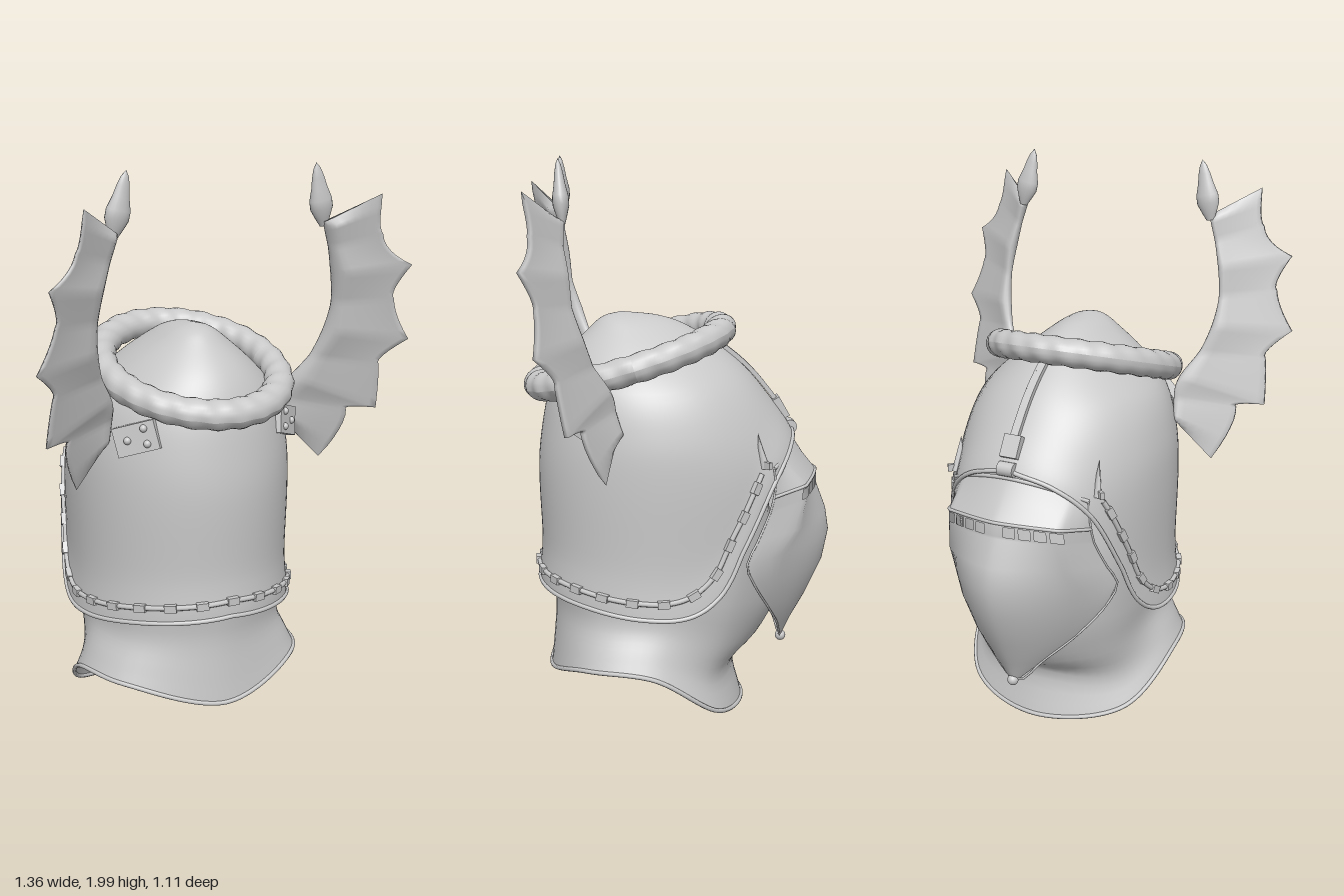
import * as THREE from 'three';

const steel = new THREE.MeshStandardMaterial({ color: 0xc8c8c8, side: THREE.DoubleSide });
steel.name = 'steel';
const V = (x, y, z) => new THREE.Vector3(x, y, z);
const rad = Math.PI / 180;

function part(parent, name, geometry) {
  const m = new THREE.Mesh(geometry, steel);
  m.name = name;
  parent.add(m);
  return m;
}

// Skin a grid of points; quads can be skipped to leave openings
function grid(rows, closed, skip = () => false) {
  const n = rows[0].length, pos = [], index = [];
  rows.forEach(r => r.forEach(p => pos.push(p.x, p.y, p.z)));
  for (let i = 0; i < rows.length - 1; i++) {
    for (let j = 0; j < (closed ? n : n - 1); j++) {
      if (skip(i, j)) continue;
      const k = (j + 1) % n, a = i * n + j, b = i * n + k, c = a + n, d = b + n;
      index.push(a, b, d, a, d, c);
    }
  }
  const g = new THREE.BufferGeometry();
  g.setAttribute('position', new THREE.Float32BufferAttribute(pos, 3));
  g.setIndex(index);
  g.computeVertexNormals();
  return g;
}

const tube = (pts, r, closed = false) =>
  new THREE.TubeGeometry(new THREE.CatmullRomCurve3(pts, closed), pts.length * 2, r, 8, closed);

// Interpolate a table of [key, values...] with smooth steps between keys
function lookup(table, t) {
  const n = table.length;
  let i = 0;
  while (i < n - 2 && t > table[i + 1][0]) i++;
  const a = table[i], b = table[i + 1], p = table[Math.max(i - 1, 0)], q = table[Math.min(i + 2, n - 1)];
  const h = b[0] - a[0], s = THREE.MathUtils.clamp((t - a[0]) / h, 0, 1);
  return a.slice(1).map((v, k) => {
    const m0 = (b[k + 1] - p[k + 1]) / (b[0] - p[0]) * h, m1 = (q[k + 1] - v) / (q[0] - a[0]) * h;
    return (2 * s ** 3 - 3 * s * s + 1) * v + (s ** 3 - 2 * s * s + s) * m0
      + (3 * s * s - 2 * s ** 3) * b[k + 1] + (s ** 3 - s * s) * m1;
  });
}

// Skull profile: height, +z reach, -z reach, half width, z of widest point
const SKULL = [
  [0.42, 0.485, -0.43, 0.385, 0.07], [0.5, 0.495, -0.45, 0.383, 0.07], [0.62, 0.495, -0.46, 0.382, 0.07],
  [0.9, 0.503, -0.45, 0.386, 0.07], [1.05, 0.488, -0.39, 0.373, 0.08], [1.2, 0.455, -0.29, 0.325, 0.1],
  [1.3, 0.405, -0.19, 0.235, 0.13], [1.4, 0.31, -0.04, 0.115, 0.17], [1.44, 0.26, 0.07, 0.055, 0.19],
  [1.455, 0.2, 0.2, 0, 0.2]];
// Rim height around the skull, by angle from +z
const RIM = [[0, 0.485], [45, 0.46], [82, 0.43], [101, 0.44], [113, 0.52], [121, 0.66], [136, 0.87], [155, 0.98], [180, 1.03]];
const rimY = deg => lookup(RIM, Math.min(180, Math.abs(deg)))[0];

// Point on the skull, which flares a little towards its rim
function onSkull(deg, y, lift = 0) {
  const [zf, zb, w, zc] = lookup(SKULL, y);
  const out = lift + 0.012 * Math.exp(-(((y - rimY(deg)) / 0.09) ** 2));
  const s = Math.sin(deg * rad), c = Math.cos(deg * rad);
  return V((w + out) * s, y, zc + c * (c > 0 ? zf - zc + out : zc - zb + out));
}

function addSkull(root) {
  const rows = [];
  for (let i = 0; i <= 40; i++) {
    const t = Math.sin(i / 40 * Math.PI / 2), row = [];
    for (let j = 0; j < 96; j++) {
      const d = j * 3.75 - 180;
      row.push(onSkull(d, THREE.MathUtils.lerp(rimY(d), 1.455, t)));
    }
    rows.push(row);
  }
  rows[40].forEach(p => p.set(0, 1.455, 0.2));
  part(root, 'skullShell', grid(rows, true));
  part(root, 'shellRim', tube(rows[0], 0.008, true));

  // Laced cord with small staples above the rim
  const cord = [];
  for (let d = -131; d <= 131; d += 2) cord.push(onSkull(d, rimY(Math.abs(d) + 4) + 0.06, 0.004));
  part(root, 'trimCord', tube(cord, 0.009));
  const curve = new THREE.CatmullRomCurve3(cord);
  for (let i = 0; i < 23; i++) {
    const u = (i + 0.5) / 23, p = curve.getPointAt(u), t = curve.getTangentAt(u);
    const b = part(root, 'trimStaple', new THREE.BoxGeometry(0.026, 0.026, 0.042));
    b.position.copy(p);
    b.lookAt(p.clone().add(t));
  }
}

// Neck guard: half rings of five points, mirrored and smoothed
function addNeckGuard(root) {
  const rings = [
    [[0, 0.145, 0.47], [0.34, 0.23, 0.34], [0.405, 0.215, 0.11], [0.31, 0.055, -0.12], [0, 0.008, -0.24]],
    [[0, 0.24, 0.46], [0.315, 0.29, 0.33], [0.375, 0.28, 0.1], [0.28, 0.17, -0.1], [0, 0.18, -0.21]],
    [[0, 0.38, 0.45], [0.28, 0.38, 0.32], [0.34, 0.37, 0.08], [0.275, 0.29, -0.15], [0, 0.26, -0.3]],
    [[0, 0.5, 0.46], [0.28, 0.5, 0.33], [0.345, 0.5, 0.06], [0.295, 0.45, -0.19], [0, 0.42, -0.38]],
    [[0, 0.62, 0.45], [0.28, 0.62, 0.33], [0.35, 0.7, 0], [0.3, 0.72, -0.23], [0, 0.6, -0.36]],
    [[0, 0.7, 0.46], [0.28, 0.7, 0.33], [0.35, 0.85, 0], [0.26, 0.93, -0.25], [0, 0.93, -0.3]]];
  const rows = rings.map(r => {
    const half = r.map(p => V(...p));
    const back = half.slice(1, -1).reverse().map(p => V(-p.x, p.y, p.z));
    return new THREE.CatmullRomCurve3([...half, ...back], true).getPoints(64).slice(0, 64);
  });
  // Smooth the rings vertically
  const cols = rows[0].map((_, j) => new THREE.CatmullRomCurve3(rows.map(r => r[j])).getPoints(20));
  part(root, 'neckGuard', grid(cols[0].map((_, i) => cols.map(c => c[i])), true));
  part(root, 'neckGuardLip', tube(rows[0], 0.008, true));
}

// Keeled visor: centre y, centre z, edge y, edge x, edge z, sharpness of the cheek corner
function addVisor(root) {
  const N = 44;
  const rows = [
    [1, -0.415, 0.93, 0.265, -0.32, 0], [0.93, -0.46, 0.88, 0.27, -0.325, 0.5],
    [0.87, -0.508, 0.83, 0.275, -0.32, 1], [0.86, -0.512, 0.82, 0.275, -0.318, 1],
    [0.825, -0.514, 0.785, 0.28, -0.307, 1], [0.815, -0.514, 0.775, 0.28, -0.305, 1],
    [0.72, -0.55, 0.68, 0.305, -0.26, 0.6], [0.64, -0.562, 0.6, 0.33, -0.22, 0.15],
    [0.53, -0.54, 0.52, 0.3, -0.25, 0], [0.4, -0.48, 0.41, 0.215, -0.31, 0],
    [0.3, -0.425, 0.31, 0.11, -0.36, 0], [0.22, -0.39, 0.22, 0.015, -0.385, 0]
  ].map(([yc, zc, ye, xe, ze, corner]) => Array.from({ length: N + 1 }, (_, j) => {
    const u = j / N * 2 - 1, a = Math.abs(u);
    const bent = a < 0.8 ? 0.36 * (a / 0.8) ** 1.4 : 0.36 + 0.64 * (a - 0.8) / 0.2;
    const t = THREE.MathUtils.lerp(a ** 1.8, bent, corner);
    return V(xe * u, yc + (ye - yc) * t, zc + (ze - zc) * t);
  }));
  // Sight slots are left open, with bars between them
  const slot = (i, j) => {
    const k = j < N / 2 ? N / 2 - 1 - j : j - N / 2;
    return i === 3 && k > 2 && k < 18 && (k - 3) % 4 !== 3;
  };
  part(root, 'visor', grid(rows, false, slot));
  part(root, 'sightUpperLip', tube(rows[2], 0.006));
  part(root, 'visorEdge', tube([...rows.map(r => r[0]), ...rows.slice(0, -1).reverse().map(r => r[N])], 0.004));
  part(root, 'visorTopEdge', tube(rows[0], 0.007));
  part(root, 'visorKnob', new THREE.SphereGeometry(0.02, 16, 12)).position.set(0, 0.22, -0.39);
}

// Twisted rope ring around the crown
function addRope(root) {
  const g = new THREE.TorusGeometry(0.305, 0.05, 20, 200), p = g.attributes.position;
  for (let i = 0; i < p.count; i++) {
    const a = Math.atan2(p.getY(i), p.getX(i));
    const c = V(Math.cos(a), Math.sin(a), 0).multiplyScalar(0.305);
    const d = V().fromBufferAttribute(p, i).sub(c);
    const v = Math.atan2(d.z, d.x * Math.cos(a) + d.y * Math.sin(a));
    d.multiplyScalar(1 + 0.05 * Math.cos(2 * v + 24 * a)).add(c);
    p.setXYZ(i, d.x, d.y * 1.11, d.z);
  }
  g.computeVertexNormals();
  const rope = part(root, 'ropeRing', g);
  rope.position.set(0, 1.295, 0.17);
  rope.rotation.x = Math.PI / 2 + 0.29;
}

// Strap and hinge block over the brow
function addBrace(root) {
  for (let i = 0, prev = null; i <= 10; i++) {
    const p = onSkull(180, 1.34 - i * 0.024, 0.012);
    if (prev) {
      const s = part(root, 'browStrap', new THREE.BoxGeometry(0.03, 0.016, prev.distanceTo(p) + 0.006));
      s.position.copy(prev).lerp(p, 0.5);
      s.lookAt(p);
    }
    prev = p;
  }
  const block = part(root, 'hingeBlock', new THREE.BoxGeometry(0.065, 0.03, 0.08));
  block.position.set(0, 1.1, -0.375);
  block.rotation.x = -1.05;
  const pin = part(root, 'hingePin', new THREE.CylinderGeometry(0.025, 0.025, 0.06, 16));
  pin.position.set(0, 1.03, -0.41);
  pin.rotation.z = Math.PI / 2;
}

// Bat-like wing: sections run from the thick inner bone to the thin scalloped edge
function addWing(g) {
  const tips = [[0.53, 1.895], [0.65, 1.655], [0.68, 1.39], [0.62, 1.13], [0.47, 0.935]];
  const dips = [[0.55, 1.76], [0.615, 1.535], [0.605, 1.295], [0.53, 1.12]];
  const inner = new THREE.CatmullRomCurve3(
    [[0.375, 1.8], [0.412, 1.66], [0.433, 1.5], [0.4, 1.34], [0.33, 1.21], [0.335, 1.08]].map(p => V(...p, 0)));
  const edge = new THREE.Path();
  edge.moveTo(...tips[0]);
  dips.forEach(([x, y], i) => {
    edge.quadraticCurveTo(x - 0.02, y + 0.02, x, y);
    edge.quadraticCurveTo(x + 0.01, y - 0.06, ...tips[i + 1]);
  });
  const steps = [0, 0.02, 0.06, 0.12, 0.22, 0.35, 0.5, 0.65, 0.8, 0.92, 1];
  const sections = edge.getPoints(6).map((p, i, all) => {
    const last = all.length - 1, a = inner.getPoint(i / last);
    const ridge = 1 - Math.abs((i + 6) % 12 - 6) / 6, end = i === 0 || i === last ? 0.15 : 1;
    const side = sign => steps.map(u => {
      const h = (0.006 + 0.022 * (1 - u) ** 2 + 0.013 * ridge * (1 - u)) * end * Math.min(1, Math.sqrt(u / 0.12));
      const x = a.x + (p.x - a.x) * u, y = a.y + (p.y - a.y) * u;
      return V(x, y, 0.535 + 0.55 * (x - 0.65) + 0.23 * (y - 1.655) + sign * h);
    });
    return [...side(1), ...side(-1).slice(1).reverse()];
  });
  part(g, 'wing', grid(sections, true));
  // Flame-shaped finial, curling inwards
  const leaf = [[0.014, 0], [0.026, 0.025], [0.041, 0.06], [0.041, 0.09], [0.029, 0.13], [0.022, 0.165], [0.013, 0.195], [0, 0.215]];
  const l = part(g, 'wingFinial', new THREE.LatheGeometry(leaf.map(q => new THREE.Vector2(...q)), 20));
  l.position.set(0.384, 1.785, 0.4);
  l.rotation.set(0.06, 0, 0.2);
  l.scale.z = 0.65;
}

// Wing, mounting plate and side spike on the +x side
function addSide(root, name) {
  const g = new THREE.Group();
  g.name = name;
  root.add(g);
  addWing(g);
  // Mounting plate with rivets, lying on the shell
  const plate = new THREE.Group();
  plate.name = 'mountPlate';
  plate.position.set(0.278, 1.11, 0.342);
  plate.rotation.set(-0.15, 0.72, -0.2);
  g.add(plate);
  part(plate, 'plate', new THREE.BoxGeometry(0.15, 0.1, 0.04));
  [[-0.035, 0.028], [-0.035, -0.025], [0.03, 0]].forEach(([x, y]) =>
    part(plate, 'rivet', new THREE.SphereGeometry(0.013, 12, 8)).position.set(x, y, 0.02));
  // Spike beside the visor and the pin that holds it
  const spike = part(g, 'sideSpike', new THREE.ConeGeometry(0.026, 0.13, 12));
  spike.position.set(0.275, 1.0, -0.27);
  spike.rotation.set(0.17, 0.67, 0);
  spike.scale.z = 0.6;
  const pin = part(g, 'spikePin', new THREE.BoxGeometry(0.085, 0.025, 0.015));
  pin.position.set(0.275, 0.95, -0.275);
  pin.rotation.y = 0.67;
  return g;
}

export function createModel() {
  const root = new THREE.Group();
  root.name = 'wingedHelmet';
  addSkull(root);
  addNeckGuard(root);
  addVisor(root);
  addRope(root);
  addBrace(root);
  addSide(root, 'leftSide');
  addSide(root, 'rightSide').scale.x = -1;
  return root;
}
